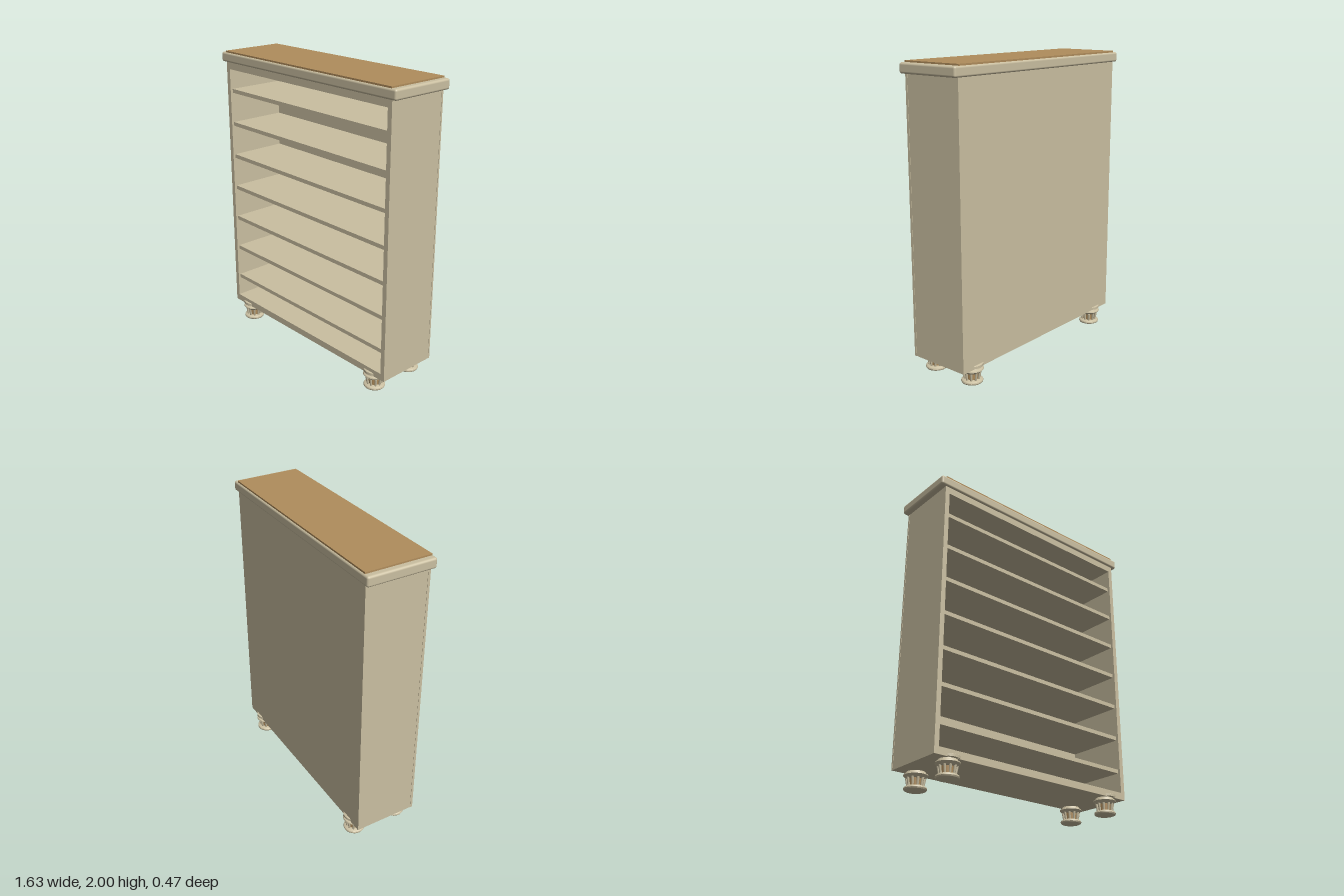
import * as THREE from 'three';
import { RoundedBoxGeometry } from 'three/addons/geometries/RoundedBoxGeometry.js';
import { toCreasedNormals } from 'three/addons/utils/BufferGeometryUtils.js';

const cream = new THREE.MeshStandardMaterial({ color: 0xcabfa1 });
cream.name = 'cream paint';
const wood = new THREE.MeshStandardMaterial({ color: 0xb08d5c });
wood.name = 'oak wood';

function add(parent, name, geometry, material, x = 0, y = 0, z = 0) {
  const mesh = new THREE.Mesh(geometry, material);
  mesh.name = name;
  mesh.position.set(x, y, z);
  parent.add(mesh);
  return mesh;
}

// Box given by its lower and upper corners
function box(parent, name, [x0, y0, z0], [x1, y1, z1], material = cream) {
  return add(parent, name, new THREE.BoxGeometry(x1 - x0, y1 - y0, z1 - z0), material,
    (x0 + x1) / 2, (y0 + y1) / 2, (z0 + z1) / 2);
}

function turned(points) {
  const profile = points.map(([r, y]) => new THREE.Vector2(r, y));
  return toCreasedNormals(new THREE.LatheGeometry(profile, 28), 0.6);
}

// Turned foot: bun base, ring of small posts around a core, flared collar and cap
function createFoot() {
  const foot = new THREE.Group();
  foot.name = 'foot';
  add(foot, 'footBase', turned([
    [0, 0], [0.058, 0], [0.067, 0.004], [0.071, 0.012], [0.069, 0.02], [0.06, 0.026], [0, 0.028],
  ]), cream);
  add(foot, 'footCore', new THREE.CylinderGeometry(0.042, 0.038, 0.054, 20), wood, 0, 0.052, 0);
  add(foot, 'footCollar', turned([
    [0, 0.074], [0.056, 0.074], [0.064, 0.082], [0.075, 0.092], [0.073, 0.099],
    [0.062, 0.104], [0.058, 0.114], [0.073, 0.117], [0.073, 0.133], [0.07, 0.135], [0, 0.135],
  ]), cream);
  const postGeometry = new THREE.CylinderGeometry(0.009, 0.007, 0.056, 8);
  for (let i = 0; i < 10; i++) {
    const spoke = new THREE.Group();
    spoke.name = 'footPost';
    spoke.rotation.y = (i / 10) * Math.PI * 2;
    add(spoke, 'post', postGeometry, cream, 0.05, 0.051, 0).rotation.z = -0.15;
    foot.add(spoke);
  }
  return foot;
}

export function createModel() {
  const model = new THREE.Group();
  model.name = 'bookcase';

  // Carcass
  for (const s of [-1, 1]) {
    box(model, s > 0 ? 'leftSide' : 'rightSide',
      [s * 0.76 - 0.015, 0.114, -0.21], [s * 0.76 + 0.015, 1.94, 0.2]);
  }
  box(model, 'floor', [-0.745, 0.114, -0.21], [0.745, 0.16, 0.2]);
  box(model, 'ceiling', [-0.745, 1.877, -0.21], [0.745, 1.94, 0.2]);
  box(model, 'backPanel', [-0.777, 0.114, -0.217], [0.777, 1.94, -0.205]);

  // Front frame
  const frame = new THREE.Shape([[-0.777, 0.114], [0.777, 0.114], [0.777, 1.94], [-0.777, 1.94]]
    .map(([x, y]) => new THREE.Vector2(x, y)));
  frame.holes.push(new THREE.Path([[-0.745, 0.16], [-0.745, 1.877], [0.745, 1.877], [0.745, 0.16]]
    .map(([x, y]) => new THREE.Vector2(x, y))));
  add(model, 'frontFrame',
    new THREE.ExtrudeGeometry(frame, { depth: 0.017, bevelEnabled: false }), cream, 0, 0, 0.2);

  // Seven evenly spaced shelves
  for (let i = 0; i < 7; i++) {
    const y = 0.298 + i * 0.2355;
    box(model, 'shelf', [-0.745, y, -0.205], [0.745, y + 0.027, 0.2]);
  }

  // Top moulding and wooden top board
  add(model, 'topMoulding', new RoundedBoxGeometry(1.63, 0.066, 0.46, 4, 0.014), cream, 0, 1.957, 0);
  box(model, 'topBoard', [-0.775, 1.98, -0.221], [0.775, 2, 0.221], wood);

  // Feet
  for (const x of [-0.64, 0.64]) {
    for (const z of [-0.16, 0.16]) {
      const foot = createFoot();
      foot.position.set(x, 0, z);
      model.add(foot);
    }
  }
  return model;
}
